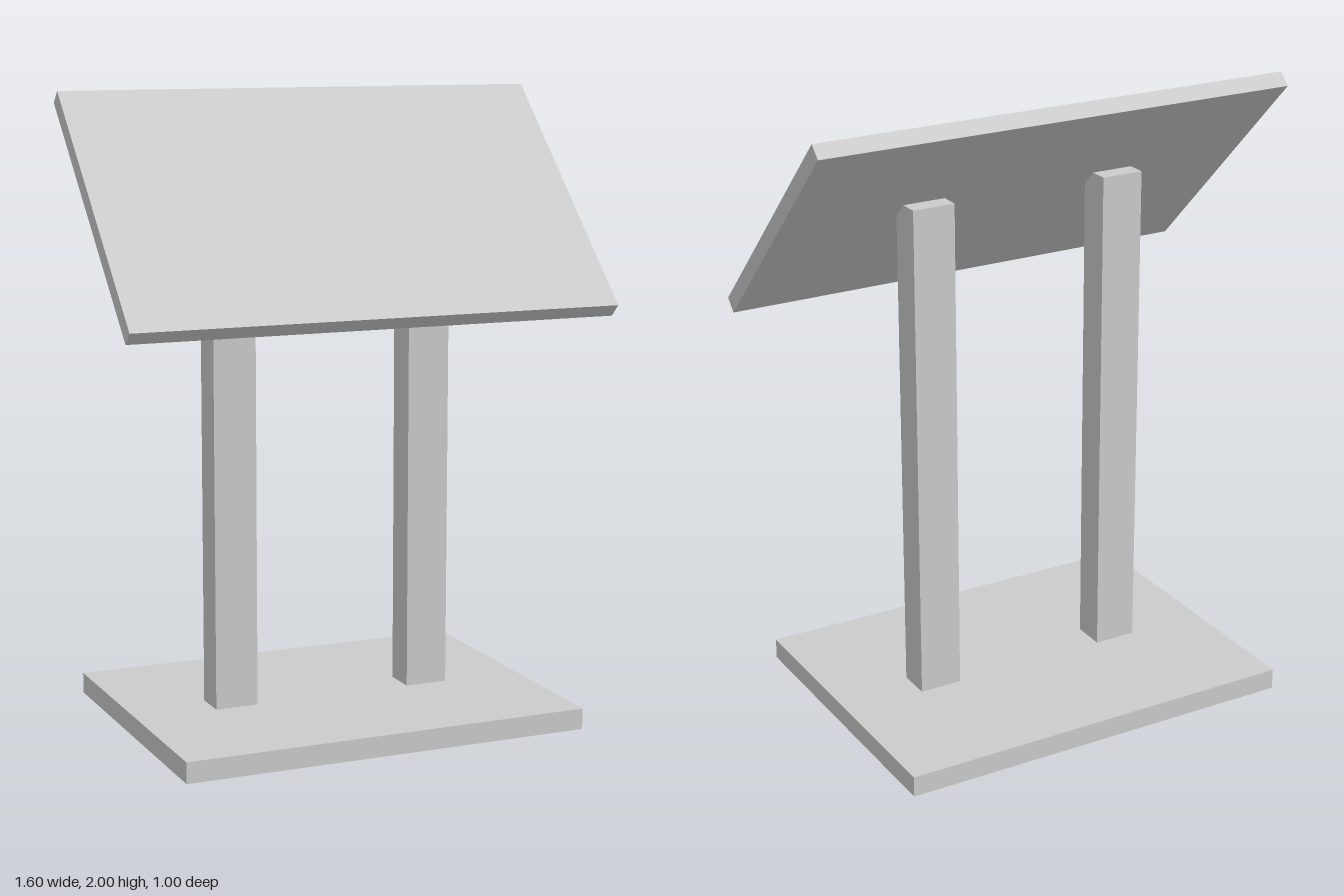
import * as THREE from 'three';

const material = new THREE.MeshStandardMaterial({ color: 0xcccccc, flatShading: true });

function box(name, width, height, depth, x, y, z) {
  const mesh = new THREE.Mesh(new THREE.BoxGeometry(width, height, depth), material);
  mesh.name = name;
  mesh.position.set(x, y, z);
  return mesh;
}

export function createModel() {
  const model = new THREE.Group();
  model.name = 'lecternSign';

  // Flat floor plate
  const baseHeight = 0.067;
  model.add(box('base', 1.33, baseHeight, 1.005, 0, baseHeight / 2, 0));

  // Two upright posts whose tops run into the panel
  const postTop = 1.695;
  for (const side of [-1, 1]) {
    model.add(box(side > 0 ? 'leftPost' : 'rightPost', 0.14, postTop - baseHeight, 0.11,
      side * 0.332, (postTop + baseHeight) / 2, 0));
  }

  // Panel tilted 45 degrees towards the front
  const panel = box('panel', 1.6, 0.053, 0.937, 0, 1.65, 0.09);
  panel.rotation.x = Math.PI / 4;
  model.add(panel);

  return model;
}
